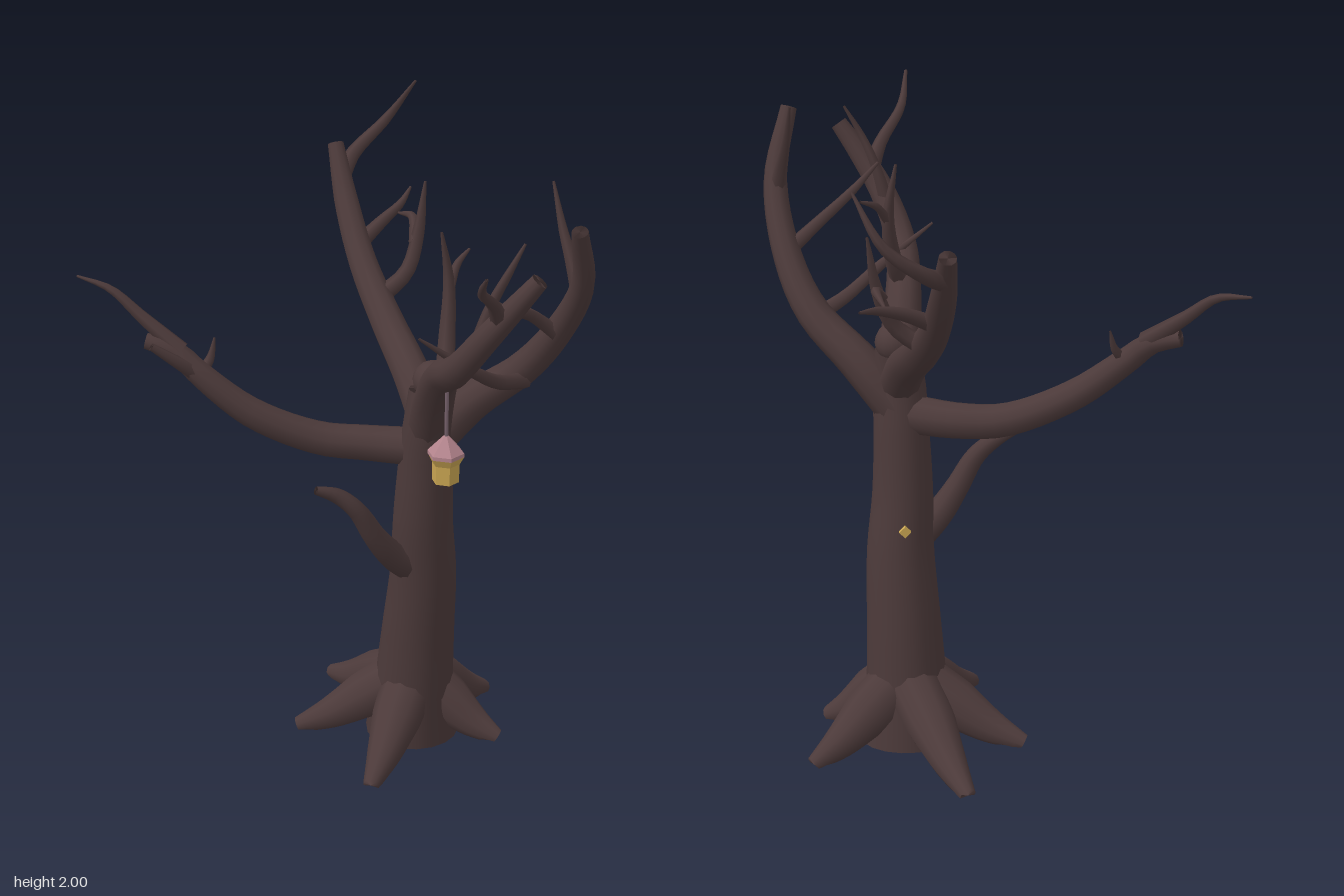
import * as THREE from 'three';

const mat = (name, color) => {
  const m = new THREE.MeshStandardMaterial({ color });
  m.name = name;
  return m;
};

// Tapered, closed limb through points [x, y, z, radius]
function limbGeometry(points, sides, steps) {
  const curve = new THREE.CatmullRomCurve3(points.map(p => new THREE.Vector3(p[0], p[1], p[2])), false, 'centripetal');
  const geo = new THREE.TubeGeometry(curve, steps, 1, sides);
  const pos = geo.attributes.position, nor = geo.attributes.normal;
  const last = points.length - 1;
  for (let i = 0; i <= steps; i++) {
    // the first and last rings collapse to a point to cap the ends
    const u = THREE.MathUtils.clamp((i - 1) / (steps - 2), 0, 1);
    const t = curve.getUtoTmapping(u) * last;
    const k = Math.min(Math.floor(t), last - 1);
    const r = i === 0 || i === steps ? 0 : THREE.MathUtils.lerp(points[k][3], points[k + 1][3], t - k);
    const c = curve.getPointAt(u);
    for (let j = 0; j <= sides; j++) {
      const n = i * (sides + 1) + j;
      pos.setXYZ(n, c.x + nor.getX(n) * r, Math.max(0.005, c.y + nor.getY(n) * r), c.z + nor.getZ(n) * r);
    }
  }
  return geo;
}

export function createModel() {
  const tree = new THREE.Group();
  tree.name = 'tree';
  const bark = mat('bark', 0x4c3a3a);
  const gold = mat('gold', 0xc9a552);
  const pink = mat('pink roof', 0xb3848c);
  const cord = mat('cord', 0x75606a);
  const dark = mat('dark opening', 0x3a2a22);

  const add = (parent, name, geo, material, x = 0, y = 0, z = 0) => {
    const m = new THREE.Mesh(geo, material);
    m.name = name;
    m.position.set(x, y, z);
    parent.add(m);
    return m;
  };
  const limb = (name, points, sides = 10, steps = 24) => add(tree, name, limbGeometry(points, sides, steps), bark);
  const twig = (name, points) => limb(name, points, 6, 14);

  // Trunk with a rounded knob at the fork
  limb('trunk', [
    [0.31, 0.005, -0.11, 0.15], [0.31, 0.2, -0.09, 0.125], [0.315, 0.4, -0.07, 0.115], [0.32, 0.62, -0.042, 0.104],
    [0.31, 0.8, -0.02, 0.094], [0.31, 1.0, 0.0, 0.085], [0.315, 1.15, 0.02, 0.082], [0.32, 1.26, 0.012, 0.068],
  ], 18, 32);
  add(tree, 'crownKnob', new THREE.SphereGeometry(0.062, 14, 10), bark, 0.325, 1.287, 0.01);

  // Spreading roots: tip x, z
  [[0.61, -0.285], [0.15, -0.515], [-0.05, -0.205], [0.08, 0.22], [0.555, 0.035]].forEach(([x, z]) => {
    const at = (f, y, r) => [0.31 + (x - 0.31) * f, y, -0.1 + (z + 0.1) * f, r];
    limb('root', [at(0.1, 0.2, 0.085), at(0.4, 0.13, 0.08), at(0.7, 0.06, 0.055), at(1, 0.01, 0.026)], 10, 16);
  });

  // Main branches
  limb('rightBranch', [
    [0.31, 1.06, 0, 0.062], [0.14, 1.06, -0.08, 0.056], [0, 1.075, -0.12, 0.053], [-0.2, 1.165, -0.16, 0.048],
    [-0.35, 1.29, -0.21, 0.04], [-0.42, 1.36, -0.25, 0.034], [-0.5, 1.385, -0.285, 0.026],
  ]);
  limb('leftBranch', [
    [0.32, 1.08, 0, 0.07], [0.44, 1.22, 0.045, 0.062], [0.57, 1.35, 0.13, 0.052], [0.64, 1.5, 0.23, 0.044],
    [0.668, 1.7, 0.36, 0.036], [0.62, 1.9, 0.45, 0.025],
  ]);
  limb('frontBranch', [
    [0.31, 1.14, 0.03, 0.07], [0.3, 1.28, 0.12, 0.062], [0.285, 1.4, 0.24, 0.053], [0.285, 1.48, 0.38, 0.047],
    [0.33, 1.6, 0.475, 0.042], [0.395, 1.71, 0.53, 0.036], [0.465, 1.81, 0.565, 0.027],
  ]);
  limb('backBranch', [
    [0.315, 1.16, 0, 0.065], [0.295, 1.26, -0.12, 0.06], [0.265, 1.37, -0.3, 0.053], [0.235, 1.5, -0.47, 0.046],
    [0.22, 1.65, -0.61, 0.04], [0.213, 1.81, -0.72, 0.026],
  ]);
  limb('lowBranch', [
    [0.28, 0.65, -0.02, 0.06], [0.2, 0.71, 0.01, 0.045], [0.14, 0.79, 0.03, 0.037], [0.08, 0.89, 0.04, 0.03],
    [0.02, 0.945, 0.035, 0.025], [-0.05, 0.975, 0.04, 0.013],
  ]);

  // Twigs on the right branch
  twig('rightTip', [[-0.4, 1.36, -0.24, 0.03], [-0.51, 1.46, -0.31, 0.02], [-0.59, 1.535, -0.36, 0.013], [-0.68, 1.56, -0.43, 0.004]]);
  twig('rightTwig', [[-0.34, 1.28, -0.21, 0.03], [-0.42, 1.34, -0.2, 0.02], [-0.5, 1.4, -0.2, 0.012]]);
  twig('rightTwig', [[-0.35, 1.29, -0.21, 0.02], [-0.315, 1.33, -0.225, 0.014], [-0.297, 1.395, -0.235, 0.003]]);

  // Twigs on the left branch
  twig('leftTwig', [[0.57, 1.32, 0.15, 0.028], [0.46, 1.36, 0.23, 0.022], [0.36, 1.43, 0.285, 0.018], [0.19, 1.56, 0.31, 0.004]]);
  twig('leftTwig', [[0.64, 1.5, 0.25, 0.025], [0.54, 1.585, 0.275, 0.019], [0.44, 1.645, 0.365, 0.015], [0.35, 1.72, 0.43, 0.005]]);
  twig('leftTwig', [[0.665, 1.65, 0.35, 0.026], [0.65, 1.75, 0.31, 0.02], [0.635, 1.84, 0.265, 0.014], [0.62, 1.97, 0.21, 0.004]]);

  // Twigs on the front branch
  twig('frontTwig', [[0.37, 1.67, 0.51, 0.028], [0.335, 1.745, 0.56, 0.02], [0.265, 1.83, 0.66, 0.014], [0.242, 1.915, 0.77, 0.005]]);
  twig('frontTwig', [[0.32, 1.57, 0.45, 0.026], [0.36, 1.71, 0.46, 0.016], [0.4, 1.8, 0.475, 0.012], [0.45, 1.89, 0.475, 0.004]]);
  twig('frontTwig', [[0.29, 1.38, 0.24, 0.03], [0.32, 1.5, 0.165, 0.026], [0.335, 1.65, 0.125, 0.018], [0.31, 1.81, 0.125, 0.004]]);
  twig('frontTwig', [[0.335, 1.63, 0.13, 0.016], [0.37, 1.69, 0.09, 0.012], [0.42, 1.72, 0.05, 0.004]]);

  // Twigs on the back branch
  twig('backTwig', [[0.215, 1.72, -0.66, 0.03], [0.28, 1.77, -0.74, 0.023], [0.39, 1.86, -0.765, 0.016], [0.47, 2.0, -0.705, 0.004]]);
  twig('backTwig', [[0.235, 1.54, -0.52, 0.026], [0.32, 1.59, -0.565, 0.02], [0.4, 1.625, -0.62, 0.013], [0.455, 1.65, -0.695, 0.004]]);
  twig('backTwig', [[0.25, 1.41, -0.37, 0.03], [0.35, 1.49, -0.375, 0.024], [0.395, 1.61, -0.4, 0.02], [0.42, 1.77, -0.415, 0.004]]);
  twig('backTwig', [[0.38, 1.58, -0.39, 0.018], [0.4, 1.63, -0.48, 0.015], [0.38, 1.615, -0.57, 0.004]]);

  // Hanging birdhouse: six-sided body, pyramid roof and cord
  const house = new THREE.Group();
  house.name = 'hangingHouse';
  house.position.set(0.287, 0, 0.282);
  tree.add(house);
  const hex = (top, bottom, h) => {
    const g = new THREE.CylinderGeometry(top, bottom, h, 6).toNonIndexed();
    g.computeVertexNormals();
    return g;
  };
  add(house, 'houseBody', hex(0.043, 0.041, 0.07), gold, 0, 1.115, 0);
  add(house, 'houseFlare', hex(0.056, 0.043, 0.025), gold, 0, 1.152, 0);
  add(house, 'houseRim', hex(0.056, 0.056, 0.012), pink, 0, 1.17, 0);
  add(house, 'houseRoof', hex(0.008, 0.056, 0.052), pink, 0, 1.202, 0);
  add(house, 'houseOpening', hex(0.032, 0.032, 0.004), dark, 0, 1.079, 0);
  add(house, 'houseCord', new THREE.CylinderGeometry(0.006, 0.006, 0.21, 6), cord, 0, 1.325, 0);

  // Small gold peg on the back of the trunk
  const peg = add(tree, 'trunkPeg', new THREE.BoxGeometry(0.026, 0.026, 0.03), gold, 0.31, 0.72, -0.125);
  peg.rotation.z = Math.PI / 4;

  return tree;
}
